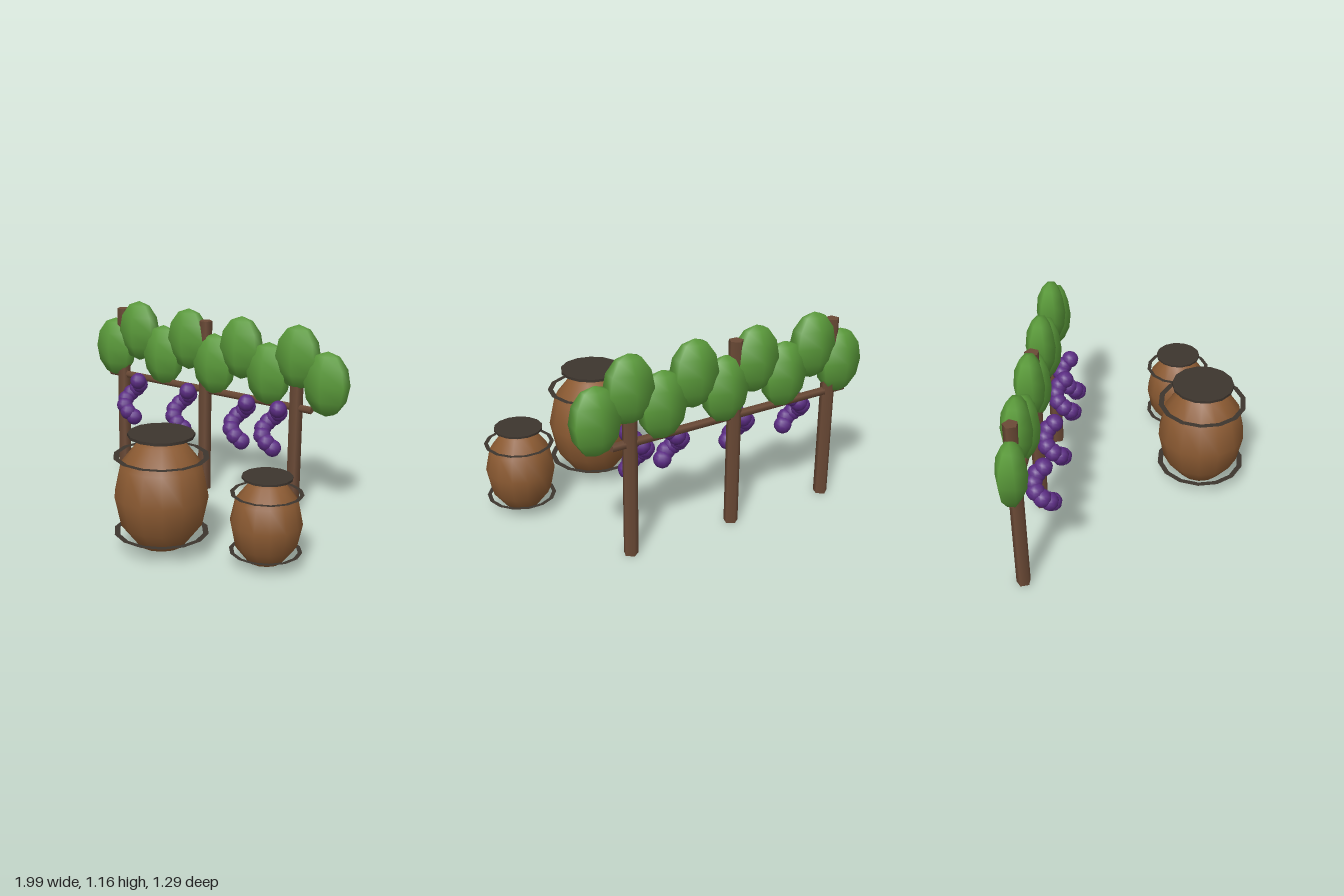
import * as THREE from 'three';

const mat = (name, color, extra = {}) => new THREE.MeshStandardMaterial({ name, color, ...extra });

export function createModel() {
  const root = new THREE.Group();
  root.name = 'vineTrellisWithBarrels';

  const wood = mat('postWood', 0x6b4a36);
  const barrelWood = mat('barrelWood', 0x8b5a32);
  const iron = mat('darkIron', 0x3d352e, { side: THREE.DoubleSide });
  const leaf = mat('leafGreen', 0x5a9a3a);
  const grape = mat('grapePurple', 0x5b2c83);

  const add = (parent, name, geometry, material, x = 0, y = 0, z = 0) => {
    const mesh = new THREE.Mesh(geometry, material);
    mesh.name = name;
    mesh.position.set(x, y, z);
    parent.add(mesh);
    return mesh;
  };
  const group = (name, x = 0, y = 0, z = 0) => {
    const g = new THREE.Group();
    g.name = name;
    g.position.set(x, y, z);
    root.add(g);
    return g;
  };

  // Trellis: five-sided posts and one cross beam
  const trellis = group('trellis', 0, 0, -0.558);
  const postGeo = new THREE.CylinderGeometry(0.042, 0.042, 1.1, 5).rotateY(Math.PI);
  for (const x of [-0.805, -0.148, 0.51]) add(trellis, 'post', postGeo, wood, x, 0.55, 0);
  const beamGeo = new THREE.CylinderGeometry(0.024, 0.024, 1.535, 5).rotateZ(Math.PI / 2);
  add(trellis, 'crossBeam', beamGeo, wood, -0.148, 0.662, 0);

  // Foliage: a zigzag row of flattened six-sided ellipsoids
  const foliage = group('foliage', 0, 0, -0.558);
  const leafGeo = new THREE.SphereGeometry(1, 6, 6).rotateY(Math.PI / 2).scale(0.15, 0.195, 0.0875);
  for (let i = 0; i < 9; i++) {
    add(foliage, 'leafClump', leafGeo, leaf, -0.87 + i * 0.1975, i % 2 ? 0.967 : 0.835, 0);
  }

  // Grapes: balls strung along one helical turn
  const grapeGeo = new THREE.SphereGeometry(0.052, 10, 8);
  for (const x of [-0.648, -0.252, 0.184, 0.406]) {
    const bunch = group('grapeBunch', x, 0.665, -0.446);
    for (let i = 0; i < 8; i++) {
      const a = i * 0.8;
      add(bunch, 'grape', grapeGeo, grape, Math.cos(a) * 0.05, -i * 0.0335, -Math.sin(a) * 0.05);
    }
  }

  // Barrels: ellipsoid body, thin lid and two flat hoops
  const barrel = (name, x, z, r, h) => {
    const g = group(name, x, h + 0.004, z);
    add(g, 'barrelBody', new THREE.SphereGeometry(1, 14, 6).scale(r, h, r), barrelWood);
    const lidH = h * 0.048;
    add(g, 'lid', new THREE.CylinderGeometry(r * 0.7, r * 0.7, lidH, 14), iron, 0, h + lidH * 0.15, 0);
    const hoopGeo = new THREE.RingGeometry(r * 0.89, r * 1.01, 14).rotateX(-Math.PI / 2);
    for (const s of [-1, 1]) add(g, 'hoop', hoopGeo, iron, 0, s * h * 0.65, 0);
  };
  barrel('largeBarrel', 0.226, 0.382, 0.263, 0.338);
  barrel('smallBarrel', 0.796, 0.206, 0.196, 0.253);

  return root;
}
